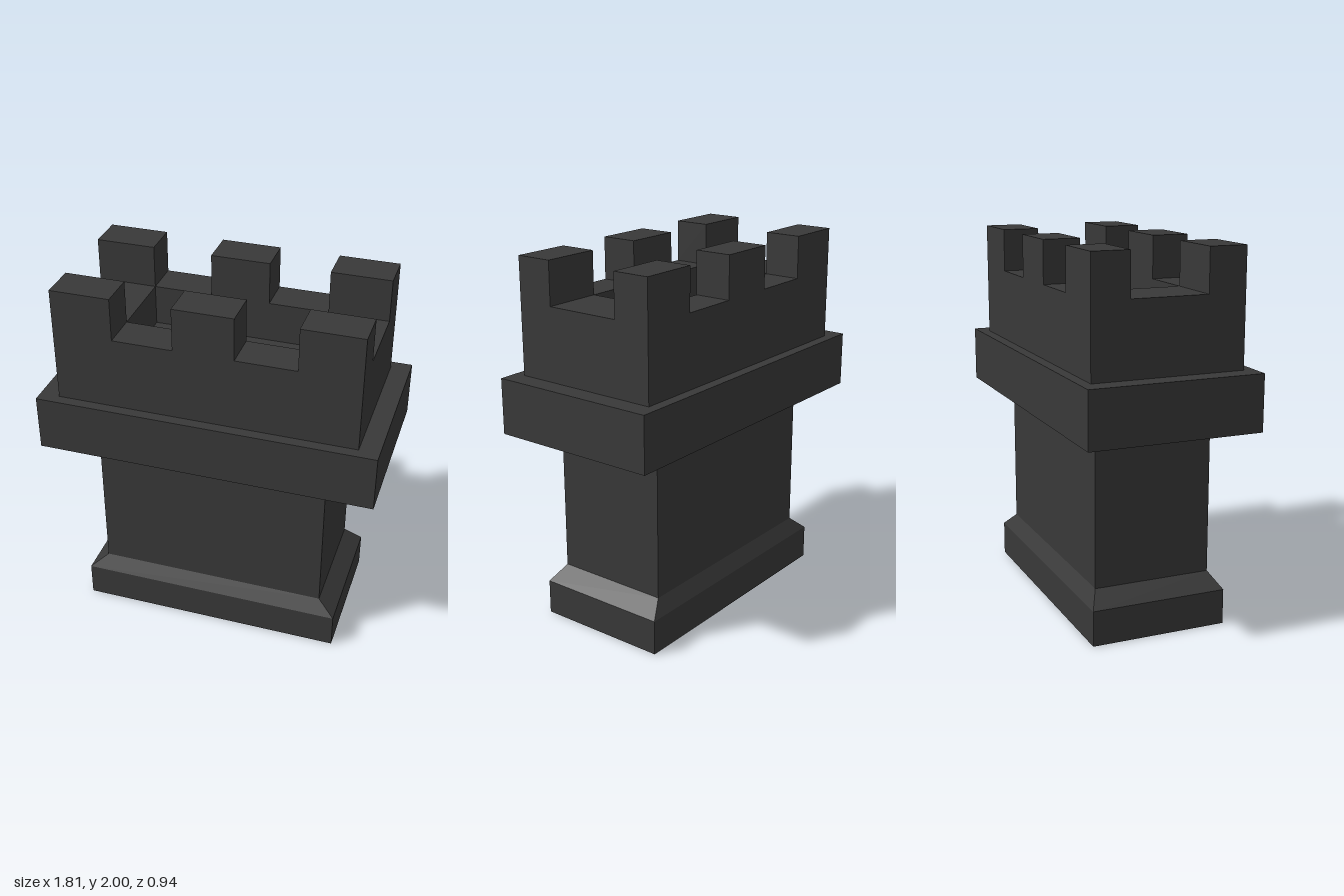
import * as THREE from 'three';

// Stacks rectangular rings [halfWidth, y, halfDepth] into a flat-sided shell.
function rectShell(rings) {
  const corners = [[1, 1], [1, -1], [-1, -1], [-1, 1]];
  const pos = [];
  const point = ([w, y, d], c) => [w * corners[c % 4][0], y, d * corners[c % 4][1]];
  for (let i = 0; i < rings.length - 1; i++) {
    for (let c = 0; c < 4; c++) {
      const a = point(rings[i], c), b = point(rings[i], c + 1);
      const e = point(rings[i + 1], c + 1), f = point(rings[i + 1], c);
      pos.push(...a, ...b, ...e);
      // a ring of zero size closes to a point, so it needs one triangle only
      if (rings[i + 1][0] > 0) pos.push(...a, ...e, ...f);
    }
  }
  const geo = new THREE.BufferGeometry();
  geo.setAttribute('position', new THREE.Float32BufferAttribute(pos, 3));
  geo.computeVertexNormals();
  return geo;
}

export function createModel() {
  const group = new THREE.Group();
  group.name = 'rookTower';
  const charcoal = new THREE.MeshStandardMaterial({ color: 0x393939, side: THREE.DoubleSide, flatShading: true });
  charcoal.name = 'charcoal';

  // Hollow tower: plinth, sloped shoulder, shaft, collar, parapet, recessed floor
  const tower = new THREE.Mesh(rectShell([
    [0.725, 0, 0.37],
    [0.725, 0.19, 0.37],
    [0.63, 0.27, 0.32],
    [0.63, 1.08, 0.32],
    [0.907, 1.08, 0.468],
    [0.907, 1.38, 0.468],
    [0.8, 1.38, 0.41],
    [0.8, 1.77, 0.41],
    [0.48, 1.77, 0.207],
    [0.48, 1.55, 0.207],
    [0, 1.55, 0],
  ]), charcoal);
  tower.name = 'towerShell';
  group.add(tower);

  // Three merlons along the front and three along the back
  const merlonGeo = new THREE.BoxGeometry(0.32, 0.23, 0.203);
  for (const z of [-0.3085, 0.3085]) {
    for (const x of [-0.64, 0, 0.64]) {
      const merlon = new THREE.Mesh(merlonGeo, charcoal);
      merlon.name = 'merlon';
      merlon.position.set(x, 1.885, z);
      group.add(merlon);
    }
  }
  return group;
}
